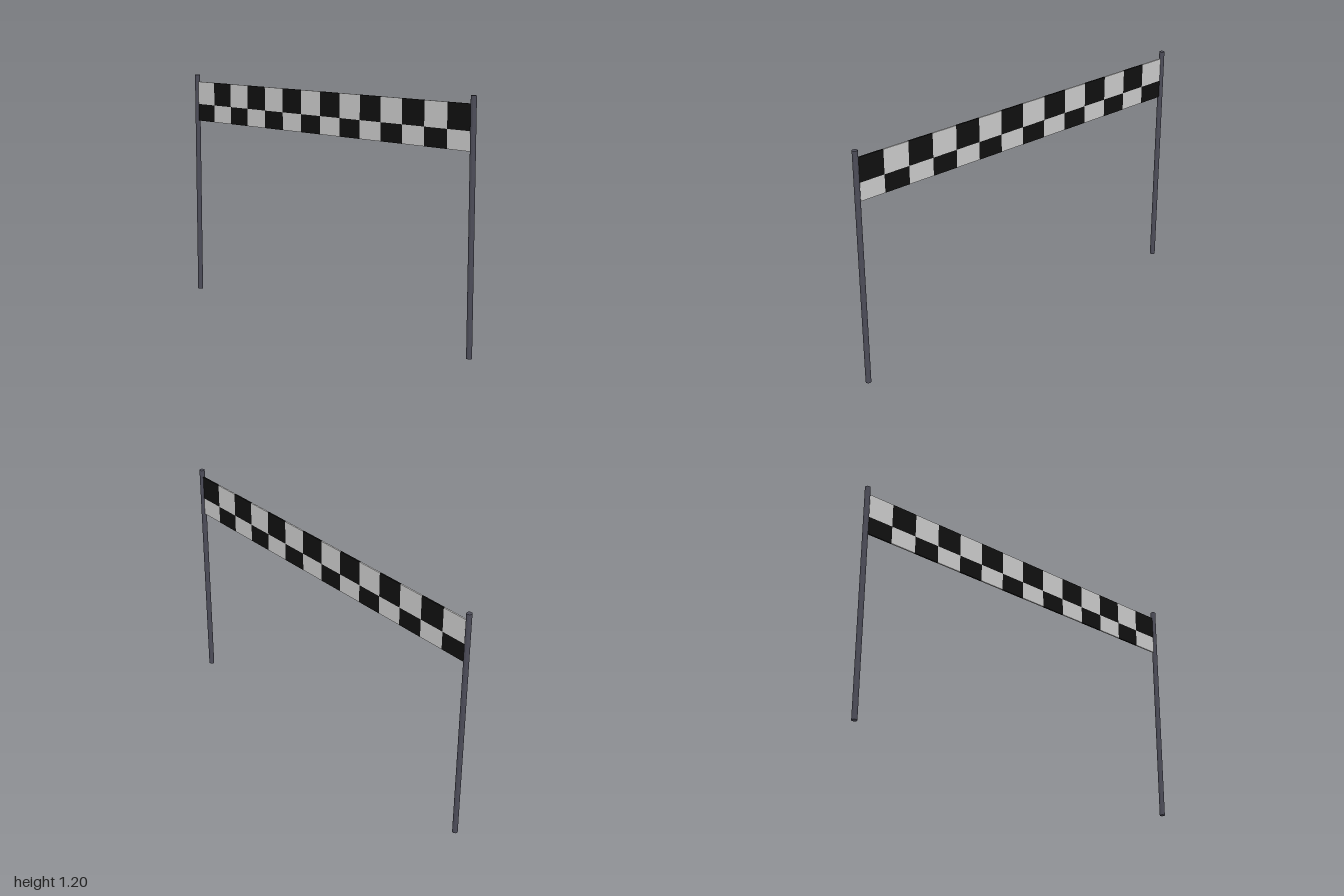
import * as THREE from 'three';

export function createModel() {
  const group = new THREE.Group();
  group.name = 'finishLineGate';
  const postMat = new THREE.MeshStandardMaterial({ color: 0x4c4c58, flatShading: true });
  const lightMat = new THREE.MeshStandardMaterial({ color: 0xcccccc });
  const darkMat = new THREE.MeshStandardMaterial({ color: 0x101010 });

  // Two slim upright posts
  const postHeight = 1.195, radius = 0.0137;
  const postGeo = new THREE.CylinderGeometry(radius, radius, postHeight, 12);
  for (const side of [1, -1]) {
    const post = new THREE.Mesh(postGeo, postMat);
    post.name = side > 0 ? 'frontPost' : 'backPost';
    post.position.set(0, postHeight / 2, side * (1 - radius));
    group.add(post);
  }

  // Chequered banner: two rows of thin panels, the upper row taller
  const banner = new THREE.Group();
  banner.name = 'banner';
  const columns = 14, length = 1.952, thickness = 0.008;
  const cell = length / columns;
  const rows = [[1.036, 1.158], [0.945, 1.036]];
  rows.forEach(([bottom, top], r) => {
    const geo = new THREE.BoxGeometry(thickness, top - bottom, cell);
    for (let c = 0; c < columns; c++) {
      const dark = (r + c) % 2 === 0;
      const panel = new THREE.Mesh(geo, dark ? darkMat : lightMat);
      panel.name = dark ? 'darkSquare' : 'lightSquare';
      panel.position.set(0, (top + bottom) / 2, length / 2 - (c + 0.5) * cell);
      banner.add(panel);
    }
  });
  group.add(banner);
  return group;
}
